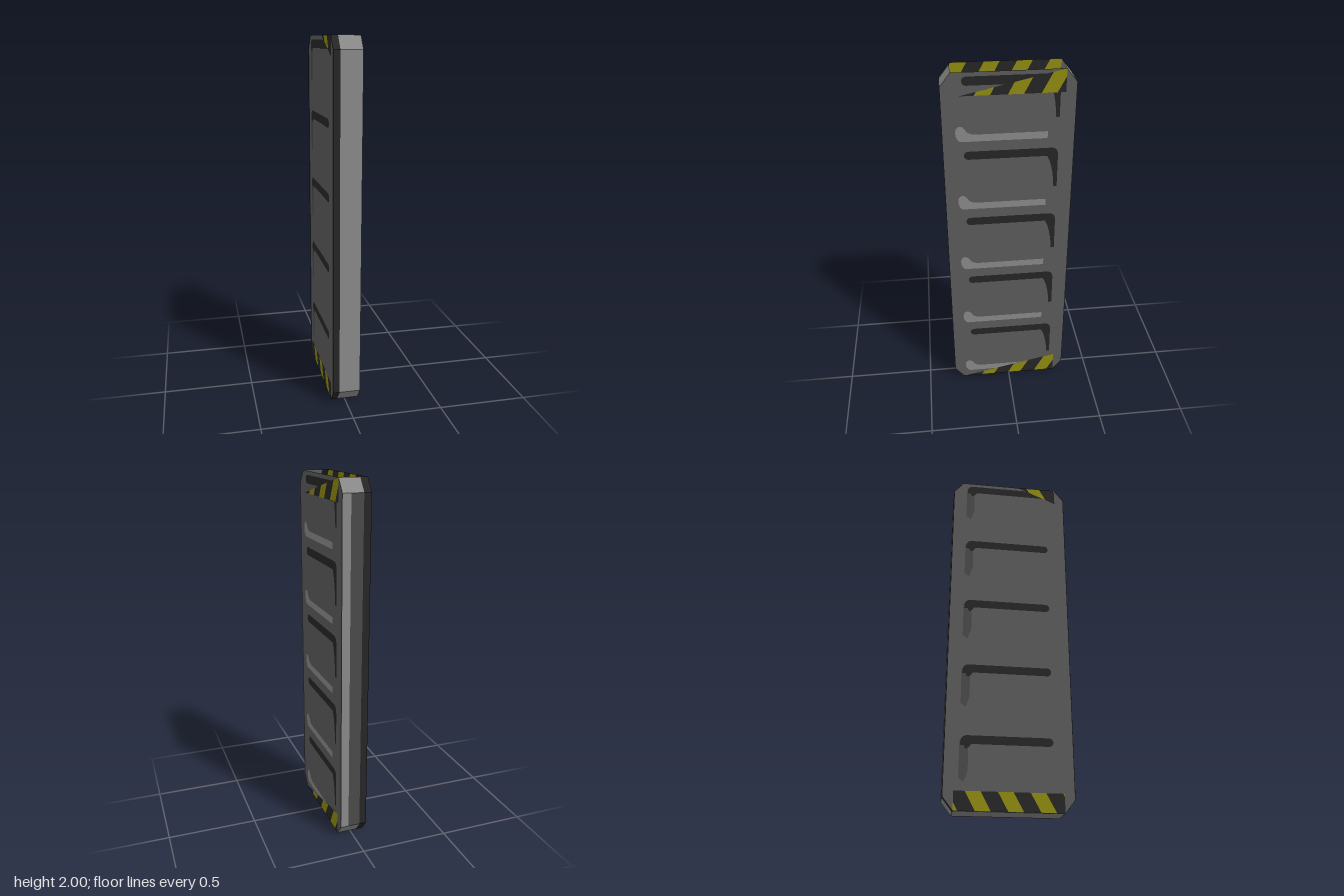
import * as THREE from 'three';

const D = THREE.DoubleSide;
const mat = (name, color, side = D) => {
  const m = new THREE.MeshStandardMaterial({ color, side });
  m.name = name;
  return m;
};

const X = 0.077, SKIN = 0.0745;   // half thickness, panel skin position
const ZI = 0.285, ZO = 0.34;      // chamfer start, outer edge
const STEP = 0.3975;              // spacing of the pressed slots

// Edge line from bottom to top, as [z, y]
const EDGE = [[ZI, 0], [ZO, 0.07], [ZO, 1.93], [ZI, 2]];

// Keep the part of a polygon inside a convex counter-clockwise polygon
function clip(poly, region) {
  let out = poly;
  region.forEach((a, i) => {
    const b = region[(i + 1) % region.length];
    const d = p => (b[0] - a[0]) * (p[1] - a[1]) - (b[1] - a[1]) * (p[0] - a[0]);
    const next = [];
    out.forEach((p, j) => {
      const q = out[(j + 1) % out.length], dp = d(p), dq = d(q);
      if (dp >= 0) next.push(p);
      if (dp * dq < 0) {
        const t = dp / (dp - dq);
        next.push([p[0] + (q[0] - p[0]) * t, p[1] + (q[1] - p[1]) * t]);
      }
    });
    out = next;
  });
  return out;
}

const polyShape = pts => new THREE.Shape(pts.map(p => new THREE.Vector2(p[0], p[1])));

// Long slot with rounded free end and a bend running down into a thin tail
function darkSlot(y, tail, tailEnd) {
  const s = new THREE.Shape();
  s.moveTo(-0.21, y + 0.023);
  s.lineTo(0.22, y + 0.023);
  s.quadraticCurveTo(0.258, y + 0.023, 0.258, y - 0.02);
  s.lineTo(0.258, y - tailEnd);
  s.lineTo(0.258 - tail, y - tailEnd);
  s.quadraticCurveTo(0.232, y - 0.07, 0.2, y - 0.023);
  s.lineTo(-0.21, y - 0.023);
  s.absarc(-0.21, y, 0.023, -Math.PI / 2, -Math.PI * 1.5, true);
  return s;
}

// Light slot with a raised bulb at one end
function lightSlot(y) {
  const s = new THREE.Shape();
  s.moveTo(0.2, y - 0.019);
  s.lineTo(0.2, y + 0.019);
  s.lineTo(-0.18, y + 0.019);
  s.quadraticCurveTo(-0.215, y + 0.025, -0.225, y + 0.05);
  s.quadraticCurveTo(-0.25, y + 0.08, -0.27, y + 0.05);
  s.quadraticCurveTo(-0.28, y + 0.005, -0.25, y - 0.019);
  return s;
}

export function createModel() {
  const root = new THREE.Group();
  const panelGray = mat('panel gray', 0x5b5b5b);
  const rimGray = mat('rim gray', 0x8a8a8a);
  const midGray = mat('shadow gray', 0x4a4a4a);
  const black = mat('slot black', 0x262626);
  const yellow = mat('hazard yellow', 0x908b10);
  const baseGray = mat('base gray', 0x868686, THREE.FrontSide);

  const add = (name, geometry, material, parent = root) => {
    const mesh = new THREE.Mesh(geometry, material);
    mesh.name = name;
    parent.add(mesh);
  };

  // Flat shapes in a (u, y) plane facing +x (side 1, u = -z) or -x (side -1, u = z)
  const plate = (name, shapes, side, x, material) => {
    const g = new THREE.ShapeGeometry(shapes, 8);
    g.rotateY(side * Math.PI / 2);
    g.translate(x, 0, 0);
    add(name, g, material);
  };

  // Black and yellow diagonal stripes filling a convex area
  const hazard = (name, region, side, x, out, lean) => {
    plate(name + 'Black', [polyShape(region)], side, x, black);
    const y0 = Math.min(...region.map(p => p[1]));
    const shapes = [];
    for (let u = -0.51; u < 0.5; u += 0.168) {
      const s = [[u, y0], [u + 0.08, y0], [u + 0.08 + lean, y0 + 0.13], [u + lean, y0 + 0.13]];
      const c = clip(s, region);
      if (c.length > 2) shapes.push(polyShape(c));
    }
    plate(name + 'Yellow', shapes, side, x + out * 0.0006, yellow);
  };

  // Two octagonal skins
  const outline = [...EDGE, ...EDGE.map(([z, y]) => [-z, y]).reverse()];
  plate('rightPanel', [polyShape(outline)], 1, SKIN, panelGray);
  plate('leftPanel', [polyShape(outline)], -1, -SKIN, panelGray);

  // Pressed slots
  const rows = [0, 1, 2, 3, 4];
  plate('rightDarkSlots', rows.map(k => darkSlot(1.955 - k * STEP, 0.018, 0.205)), 1, X - 0.0016, black);
  plate('rightLightSlots', rows.map(k => lightSlot(1.655 - k * STEP)), 1, X - 0.0016, rimGray);
  plate('leftDarkSlots', rows.map(k => {
    const s = darkSlot(1.955 - k * STEP, 0.02, 0.03);
    return polyShape(s.getPoints(8).map(p => [-p.x, p.y]));
  }), -1, -X + 0.001, black);
  plate('leftSlotTails', rows.map(k => {
    const y = 1.955 - k * STEP;
    return polyShape([[-0.262, y], [-0.262, y - 0.2], [-0.235, y - 0.22], [-0.215, y - 0.16], [-0.215, y]]);
  }), -1, -X + 0.0016, midGray);

  // Hazard markings
  hazard('rightTopHazard', [[-0.25, 1.88], [ZI, 1.88], [ZI, 2]], 1, X - 0.0008, 1, 0.07);
  hazard('rightBottomHazard', [[-ZI, 0.001], [ZI, 0.001], [ZI, 0.13]], 1, X - 0.0008, 1, 0.07);
  hazard('leftTopHazard', [[0.05, 2], [ZI, 1.9], [ZI, 2]], -1, -X + 0.0008, -1, -0.07);
  hazard('leftBottomHazard', [[-ZI, 0.001], [ZI, 0.001], [ZI, 0.1], [-ZI, 0.1]], -1, -X + 0.0008, -1, -0.07);
  hazard('innerTopHazard', [[-ZI, 1.88], [ZI, 1.88], [ZI, 2], [-ZI, 2]], 1, -SKIN + 0.001, 1, 0.07);

  // One lengthwise band of the rim between two x positions
  const rimBand = (name, sign, x0, x1, segments, material) => {
    const pos = [];
    for (const i of segments) {
      const [za, ya] = EDGE[i], [zb, yb] = EDGE[i + 1];
      const a = [x0, ya, sign * za], b = [x1, ya, sign * za];
      const c = [x1, yb, sign * zb], d = [x0, yb, sign * zb];
      pos.push(...(sign > 0 ? [a, b, c, a, c, d] : [a, c, b, a, d, c]).flat());
    }
    const g = new THREE.BufferGeometry();
    g.setAttribute('position', new THREE.Float32BufferAttribute(pos, 3));
    g.computeVertexNormals();
    add(name, g, material);
  };
  rimBand('frontRimDark', 1, -X, -0.04, [0, 1, 2], black);
  rimBand('frontRim', 1, -0.04, X, [0, 1, 2], rimGray);
  rimBand('backRimDark', -1, -X, -0.037, [0, 1, 2], black);
  rimBand('backRimMiddle', -1, -0.037, 0.03, [1], midGray);
  rimBand('backRimEdge', -1, 0.03, X, [1], rimGray);
  rimBand('backRimChamfers', -1, -0.037, X, [0, 2], rimGray);

  // Underside, facing down; the top stays open
  const base = new THREE.PlaneGeometry(2 * SKIN, 2 * ZI);
  base.rotateX(Math.PI / 2);
  add('underside', base, baseGray);

  return root;
}
